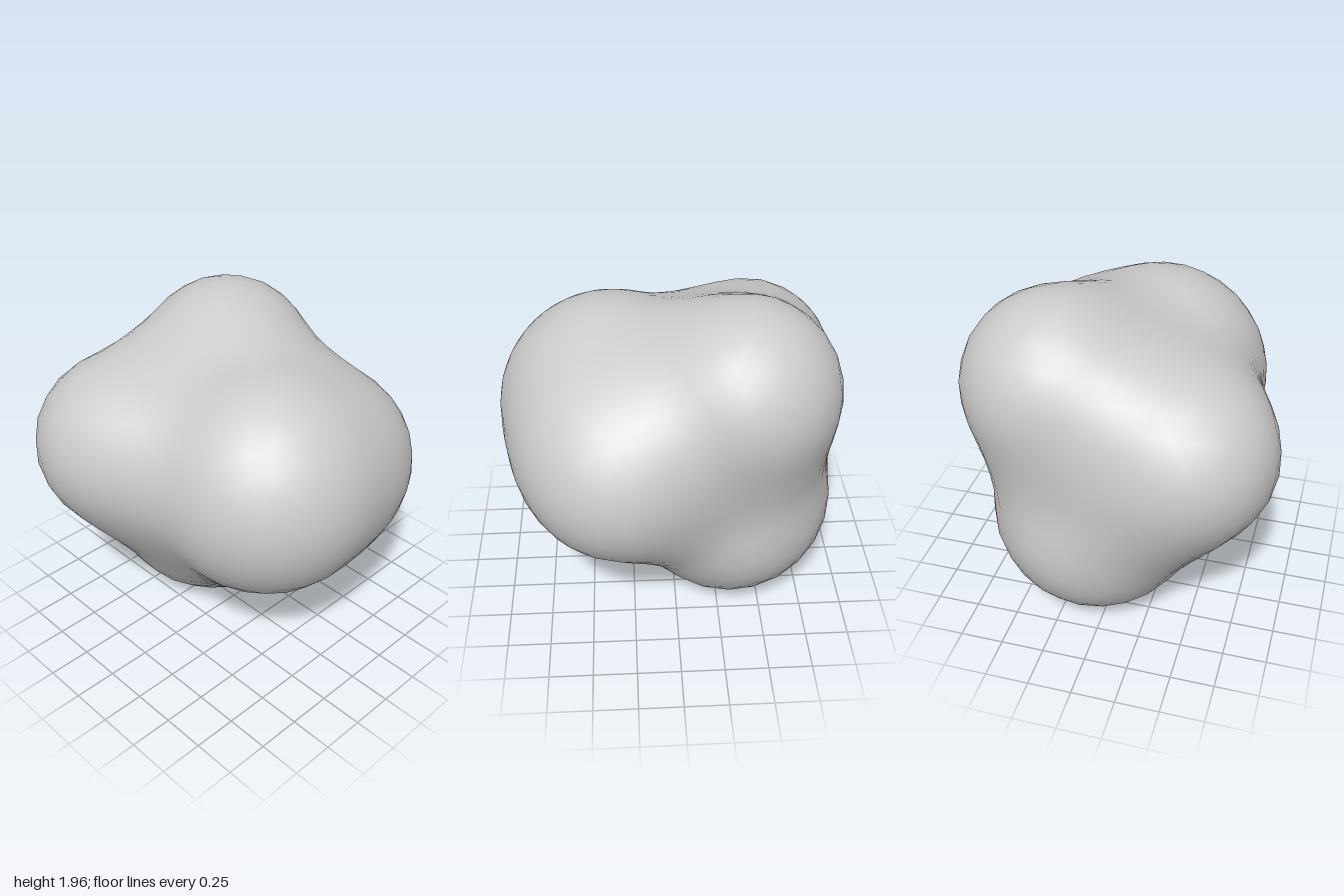
import * as THREE from 'three';
import { mergeVertices } from 'three/addons/utils/BufferGeometryUtils.js';

// Lobes of the blob: centre x, y, z and the radius each would have alone
const lobes = [
  [0.345, 1.15, 0.08, 0.655],  // left
  [0.31, 1.04, -0.455, 0.49],  // back
  [-0.38, 1.44, -0.31, 0.532], // top
  [-0.475, 1.17, 0.42, 0.525], // front
  [-0.33, 0.61, -0.105, 0.61], // bottom
];
const LEVEL = 0.3;
const REACH = 1 - Math.cbrt(LEVEL); // (radius / range of influence) squared

// Sum of the fall-off of all lobes; the skin lies where it equals LEVEL
function field(p) {
  let sum = 0;
  for (const [x, y, z, r] of lobes) {
    const d2 = (p.x - x) ** 2 + (p.y - y) ** 2 + (p.z - z) ** 2;
    sum += Math.max(0, 1 - (d2 * REACH) / (r * r)) ** 3;
  }
  return sum;
}

// Walk inward along a ray to the skin, then refine by halving
function skinPoint(centre, dir) {
  const at = (t) => centre.clone().addScaledVector(dir, t);
  let t = 1.8;
  while (t > 0.1 && field(at(t)) < LEVEL) t -= 0.02;
  let inner = t, outer = t + 0.02;
  for (let i = 0; i < 12; i++) {
    const mid = (inner + outer) / 2;
    if (field(at(mid)) < LEVEL) outer = mid;
    else inner = mid;
  }
  return at(inner);
}

export function createModel() {
  const group = new THREE.Group();
  group.name = 'blob';

  // Shared-vertex sphere pushed out to the skin
  let geo = new THREE.IcosahedronGeometry(1, 8);
  geo.deleteAttribute('uv');
  geo.deleteAttribute('normal');
  geo = mergeVertices(geo, 1e-4);
  const pos = geo.attributes.position;
  const centre = new THREE.Vector3(-0.08, 1.1, -0.03);
  const dir = new THREE.Vector3();
  for (let i = 0; i < pos.count; i++) {
    dir.fromBufferAttribute(pos, i).normalize();
    const p = skinPoint(centre, dir);
    pos.setXYZ(i, p.x, p.y, p.z);
  }
  geo.computeVertexNormals();

  const body = new THREE.Mesh(geo, new THREE.MeshStandardMaterial({ color: 0xcccccc }));
  body.name = 'blobBody';
  group.add(body);
  return group;
}
